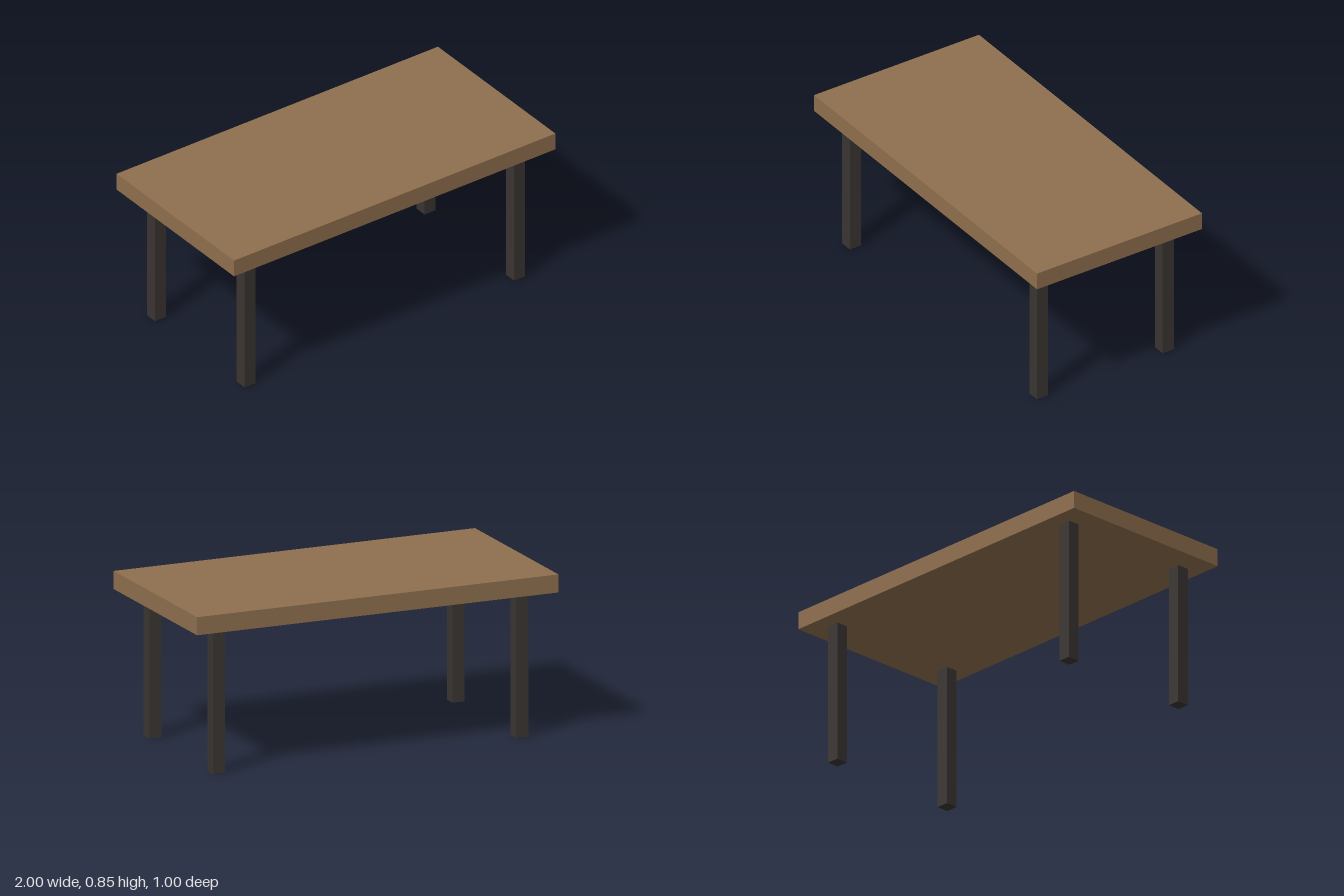
import * as THREE from 'three';

const HEIGHT = 0.849, TOP_THICKNESS = 0.094, LEG_WIDTH = 0.068;
const LEG_X = 0.839, LEG_Z = 0.381;

export function createModel() {
  const table = new THREE.Group();
  table.name = 'table';
  const wood = new THREE.MeshStandardMaterial({ color: 0x8f6f4e });
  const dark = new THREE.MeshStandardMaterial({ color: 0x3a3532 });

  // Thick rectangular slab
  const top = new THREE.Mesh(new THREE.BoxGeometry(2, TOP_THICKNESS, 1), wood);
  top.name = 'tableTop';
  top.position.y = HEIGHT - TOP_THICKNESS / 2;
  table.add(top);

  // Four square legs, set in from the corners
  const legHeight = HEIGHT - TOP_THICKNESS;
  const legGeometry = new THREE.BoxGeometry(LEG_WIDTH, legHeight, LEG_WIDTH);
  for (const [sideName, sx] of [['Left', 1], ['Right', -1]]) {
    for (const [endName, sz] of [['front', 1], ['back', -1]]) {
      const leg = new THREE.Mesh(legGeometry, dark);
      leg.name = `${endName}${sideName}Leg`;
      leg.position.set(sx * LEG_X, legHeight / 2, sz * LEG_Z);
      table.add(leg);
    }
  }
  return table;
}
